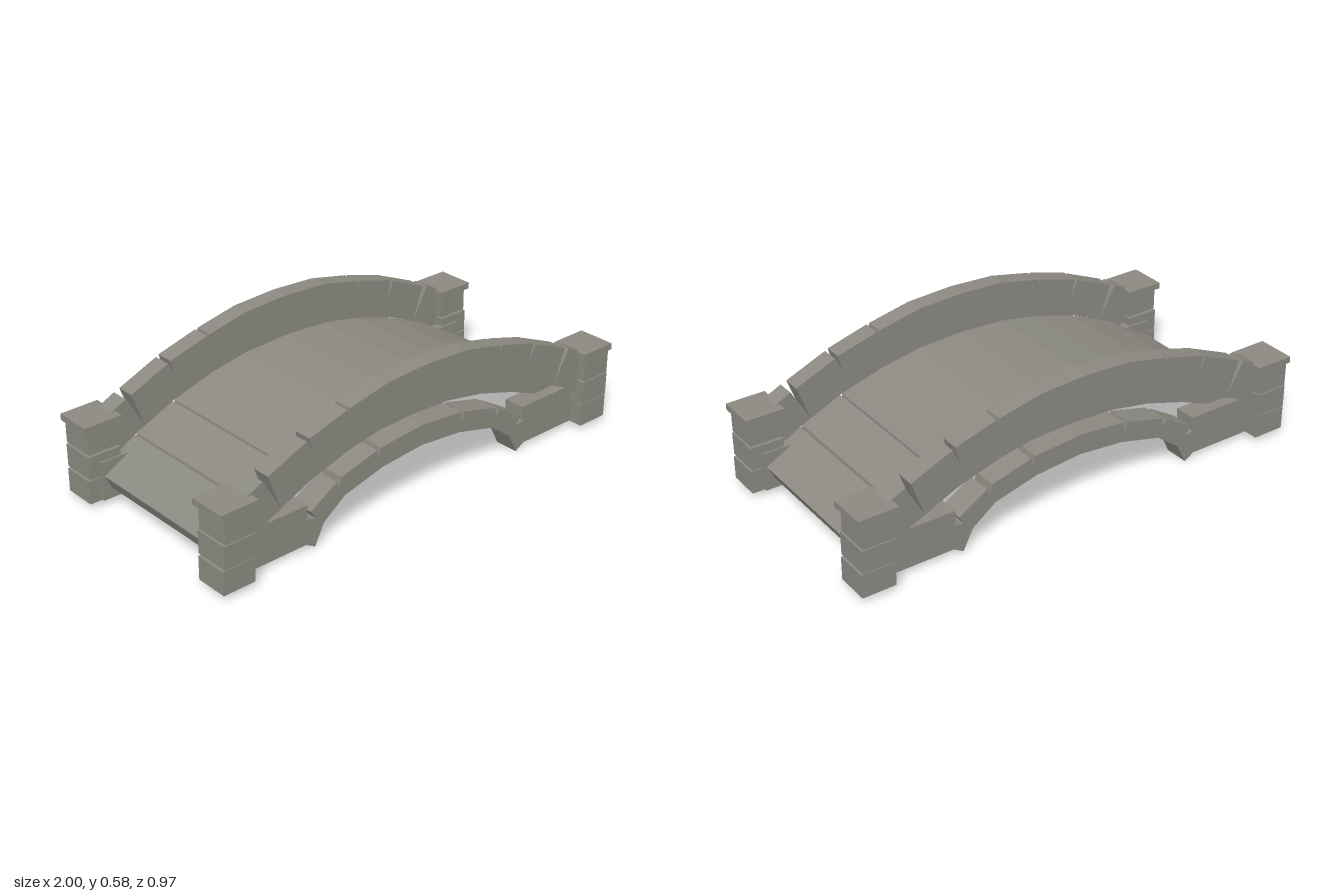
import * as THREE from 'three';

const stone = new THREE.MeshStandardMaterial({ color: 0x8b8981 });
stone.name = 'grey stone';

// Half outline (centre top, round the +x end, to centre bottom) mirrored and extruded from z0 to z1
function archSlab(name, half, z0, z1) {
  const mirrored = half.slice(1, -1).reverse().map(([x, y]) => [-x, y]);
  const shape = new THREE.Shape([...half, ...mirrored].map(([x, y]) => new THREE.Vector2(x, y)));
  const geo = new THREE.ExtrudeGeometry(shape, { depth: z1 - z0, bevelEnabled: false });
  geo.translate(0, 0, z0);
  const mesh = new THREE.Mesh(geo, stone);
  mesh.name = name;
  return mesh;
}

// Box given by its extents
function block(name, x0, x1, y0, y1, z0, z1) {
  const mesh = new THREE.Mesh(new THREE.BoxGeometry(x1 - x0, y1 - y0, Math.abs(z1 - z0)), stone);
  mesh.position.set((x0 + x1) / 2, (y0 + y1) / 2, (z0 + z1) / 2);
  mesh.name = name;
  return mesh;
}

export function createModel() {
  const bridge = new THREE.Group();
  bridge.name = 'stoneBridge';

  // Curved walkway with joints between the slabs
  bridge.add(archSlab('deck', [
    [0, 0.405], [0.2, 0.395], [0.38, 0.362],
    [0.563, 0.307], [0.566, 0.285], [0.572, 0.303],
    [0.745, 0.228], [0.748, 0.212], [0.755, 0.222],
    [0.93, 0.125], [0.9, 0.065],
    [0.75, 0.155], [0.73, 0.203], [0.715, 0.173],
    [0.55, 0.24], [0.37, 0.295], [0.19, 0.328], [0, 0.337],
  ], -0.368, 0.368));

  // Parapet wall with cracks cut in from the top
  const parapet = [
    [0, 0.577], [0.2, 0.567],
    [0.383, 0.528], [0.386, 0.508], [0.395, 0.525],
    [0.572, 0.475], [0.553, 0.4], [0.585, 0.468],
    [0.76, 0.394], [0.708, 0.25], [0.785, 0.385],
    [0.89, 0.335], [0.89, 0.147],
    [0.75, 0.225], [0.57, 0.305], [0.38, 0.362], [0.2, 0.395], [0, 0.405],
  ];

  // Lower ring of arch stones, ending in the springers
  const ring = [
    [0, 0.31],
    [0.207, 0.293], [0.217, 0.25], [0.226, 0.288],
    [0.4, 0.242], [0.41, 0.2], [0.422, 0.23],
    [0.548, 0.155], [0.525, 0.12], [0.567, 0.13],
    [0.567, 0.022], [0.53, 0],
    [0.487, 0.085], [0.385, 0.16], [0.2, 0.207], [0, 0.225],
  ];

  for (const s of [1, -1]) {
    const span = (a, b) => (s > 0 ? [a, b] : [-b, -a]);
    bridge.add(archSlab('parapet', parapet, ...span(0.367, 0.445)));
    bridge.add(archSlab('archRing', ring, ...span(0.317, 0.42)));

    for (const e of [1, -1]) {
      const xs = (a, b) => (e > 0 ? [a, b] : [-b, -a]);
      bridge.add(block('abutment', ...xs(0.56, 0.94), 0.022, 0.187, ...span(0.325, 0.416)));

      // Corner pier: stacked stones on a recessed core, with a wider cap
      const pier = new THREE.Group();
      pier.name = 'pier';
      pier.add(
        block('pierCore', ...xs(0.875, 0.97), 0.03, 0.33, ...span(0.36, 0.455)),
        block('pierBaseStone', ...xs(0.853, 0.993), 0.022, 0.12, ...span(0.337, 0.477)),
        block('pierMiddleStone', ...xs(0.846, 0.988), 0.127, 0.222, ...span(0.333, 0.482)),
        block('pierTopStone', ...xs(0.848, 0.984), 0.228, 0.326, ...span(0.338, 0.484)),
        block('pierCap', ...xs(0.835, 1), 0.326, 0.353, ...span(0.325, 0.487)),
      );
      bridge.add(pier);
    }
  }
  return bridge;
}
